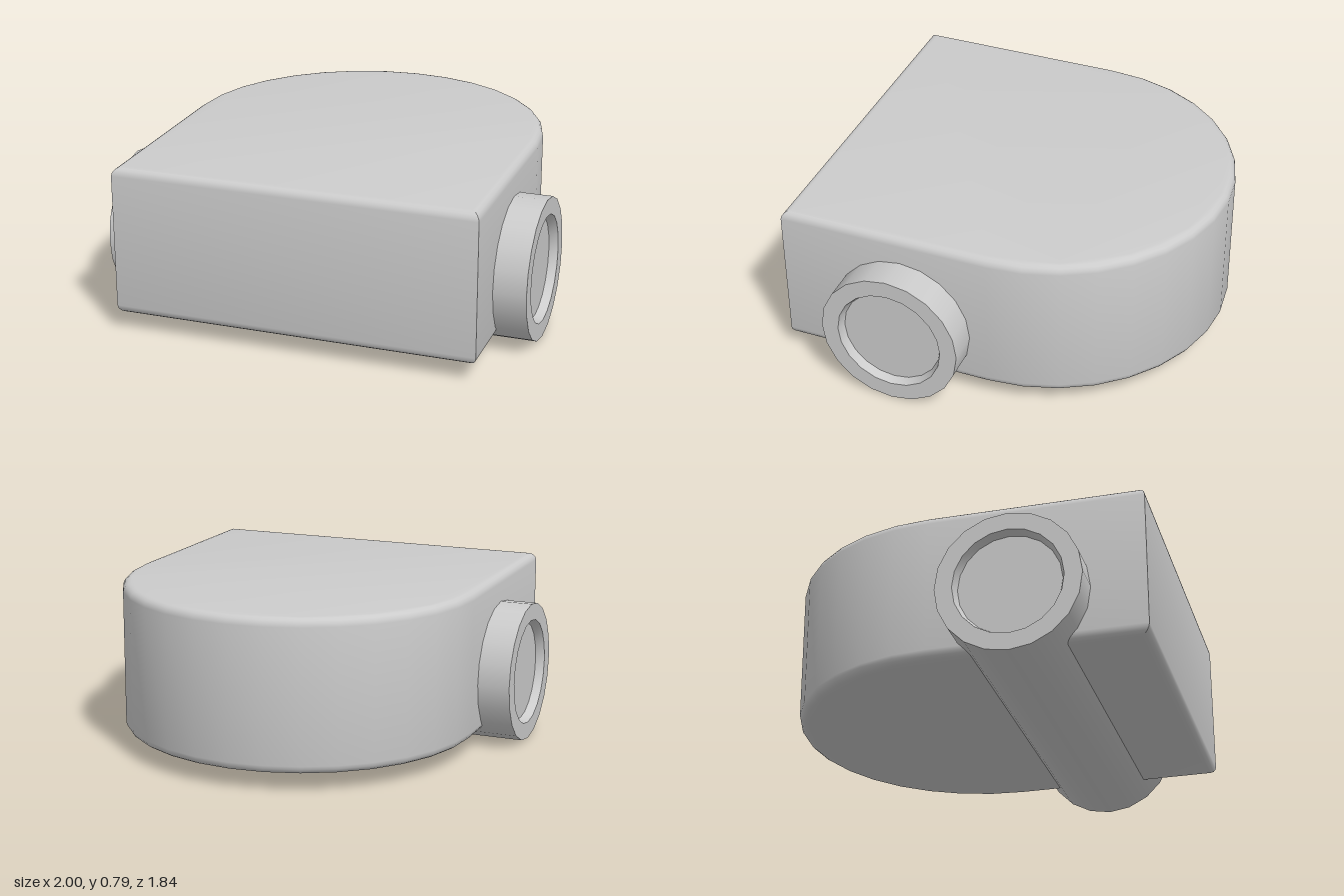
import * as THREE from 'three';
import { toCreasedNormals } from 'three/addons/utils/BufferGeometryUtils.js';

const material = new THREE.MeshStandardMaterial({ color: 0xcccccc });

function part(name, geometry) {
  const mesh = new THREE.Mesh(toCreasedNormals(geometry, 0.5), material);
  mesh.name = name;
  return mesh;
}

// D-shaped block: square at the front, half round at the back, rounded rims
function bodyGeometry() {
  const radius = 0.848, arcZ = -0.072, frontZ = 0.92;
  const bottom = 0.085, top = 0.79, bevel = 0.04;
  const outline = new THREE.Shape();
  outline.moveTo(-radius, -frontZ);
  outline.lineTo(radius, -frontZ);
  outline.lineTo(radius, -arcZ);
  outline.absarc(0, -arcZ, radius, 0, Math.PI, false);
  outline.closePath();
  const geometry = new THREE.ExtrudeGeometry(outline, {
    depth: top - bottom - 2 * bevel,
    curveSegments: 8,
    bevelSize: bevel,
    bevelThickness: bevel,
    bevelOffset: -bevel,
    bevelSegments: 4,
  });
  return geometry.rotateX(-Math.PI / 2).translate(0, bottom + bevel, 0);
}

// Cross cylinder with a shallow tapered recess in each end
function crossTubeGeometry() {
  const r = 0.33, rim = 0.25, floor = 0.235, recess = 0.04;
  const half = [[r, 1], [rim, 1], [floor, 1 - recess], [0, 1 - recess]];
  const mirrored = half.map(([x, y]) => [x, -y]).reverse();
  const profile = [...mirrored, ...half].map(([x, y]) => new THREE.Vector2(x, y));
  return new THREE.LatheGeometry(profile, 20).rotateZ(-Math.PI / 2).translate(0, r, 0.34);
}

export function createModel() {
  const model = new THREE.Group();
  model.name = 'roundBackedBlock';
  model.add(part('body', bodyGeometry()), part('crossTube', crossTubeGeometry()));
  return model;
}
